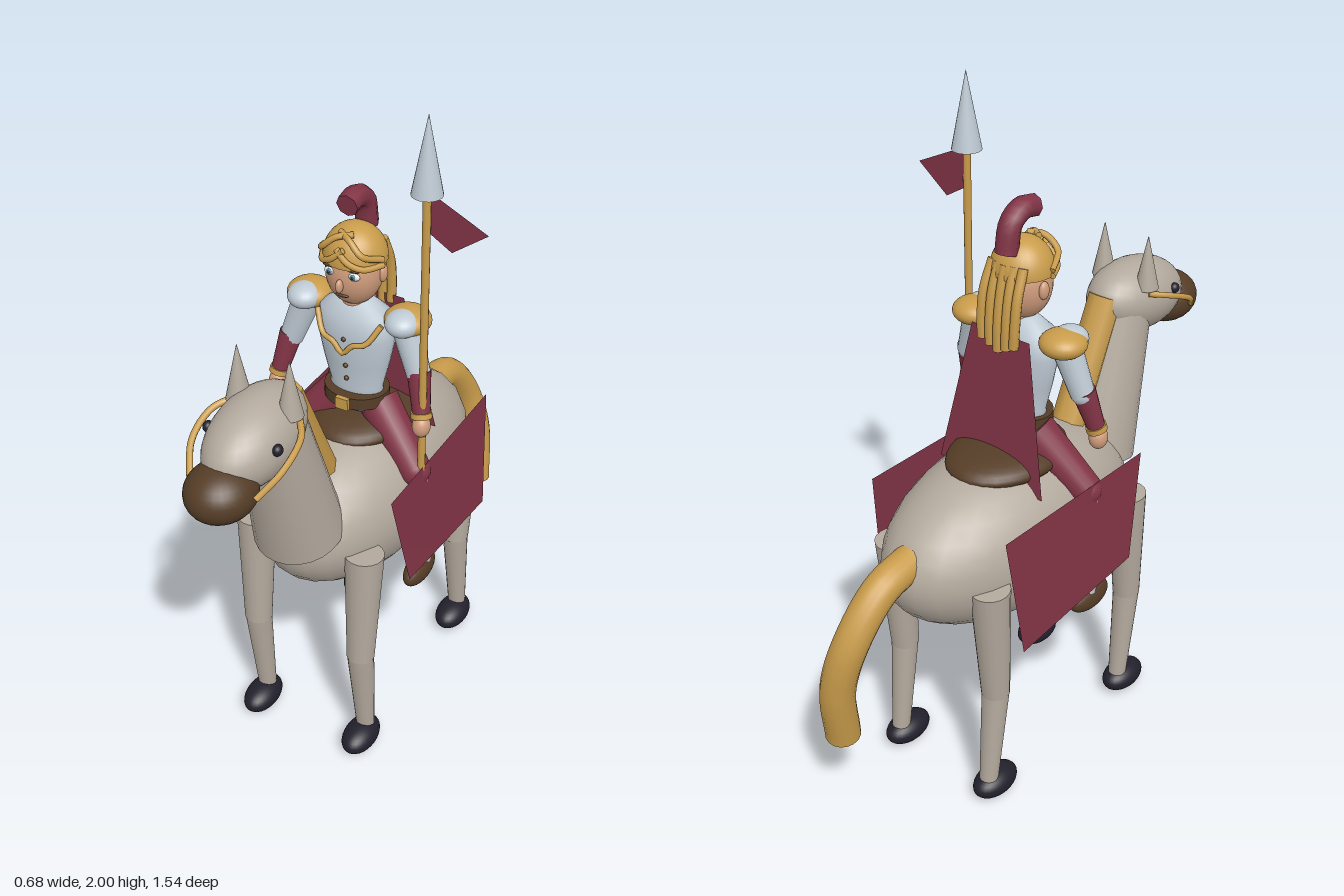
import * as THREE from 'three';

const mat = (name, color, side = THREE.FrontSide) => {
  const m = new THREE.MeshStandardMaterial({ color, side });
  m.name = name;
  return m;
};
const V = (x, y, z) => new THREE.Vector3(x, y, z);

export function createModel() {
  const coat = mat('coat grey', 0xb3a99d), leather = mat('leather brown', 0x553d27);
  const gold = mat('gold', 0xc99c4b), cloth = mat('burgundy cloth', 0x823446, THREE.DoubleSide);
  const steel = mat('steel', 0xbfcad4), skin = mat('skin', 0xcf9c7c);
  const black = mat('hoof black', 0x22202c), white = mat('eye white', 0xe8e8e4), blue = mat('eye blue', 0x4f86a0);

  const root = new THREE.Group();
  root.name = 'mountedLancer';
  const horse = new THREE.Group(), rider = new THREE.Group(), lance = new THREE.Group();
  horse.name = 'horse'; rider.name = 'rider'; lance.name = 'lance';
  root.add(horse, rider, lance);
  root.position.x = -0.07;

  // Helpers
  const add = (parent, name, geo, m) => {
    const mesh = new THREE.Mesh(geo, m);
    mesh.name = name;
    parent.add(mesh);
    return mesh;
  };
  const ball = (parent, name, m, p, r, tilt = 0) => {
    const mesh = add(parent, name, new THREE.SphereGeometry(1, 28, 18), m);
    mesh.position.set(...p);
    mesh.scale.set(...r);
    mesh.rotation.x = tilt;
    return mesh;
  };
  const limb = (parent, name, m, a, b, ra, rb, sides = 18) => {
    const A = V(...a), B = V(...b), d = B.clone().sub(A);
    const mesh = add(parent, name, new THREE.CylinderGeometry(rb, ra, d.length(), sides), m);
    mesh.position.copy(A).add(B).multiplyScalar(0.5);
    mesh.quaternion.setFromUnitVectors(V(0, 1, 0), d.normalize());
    return mesh;
  };
  // Tube with closed ends
  const tube = (parent, name, m, pts, r, sides = 8, seg = 20) => {
    const curve = new THREE.CatmullRomCurve3(pts.map(p => V(...p)));
    add(parent, name, new THREE.TubeGeometry(curve, seg, r, sides), m);
    for (const t of [0, 1]) {
      const cap = add(parent, name + 'End', new THREE.CircleGeometry(r, sides), m);
      cap.position.copy(curve.getPoint(t));
      cap.quaternion.setFromUnitVectors(V(0, 0, 1), curve.getTangent(t).multiplyScalar(t ? 1 : -1));
    }
  };
  // Flat four-cornered sheet
  const sheet = (parent, name, m, c) => {
    const g = new THREE.BufferGeometry();
    g.setAttribute('position', new THREE.Float32BufferAttribute(c.flat(), 3));
    g.setIndex([0, 1, 2, 0, 2, 3]);
    g.computeVertexNormals();
    return add(parent, name, g, m);
  };

  // Horse body, neck and head
  ball(horse, 'body', coat, [0, 0.765, -0.07], [0.242, 0.25, 0.463]);
  limb(horse, 'neck', coat, [0, 0.82, 0.315], [0, 1.28, 0.44], 0.13, 0.092, 24);
  limb(horse, 'mane', gold, [0, 0.95, 0.2], [0, 1.3, 0.365], 0.052, 0.052, 8);
  ball(horse, 'head', coat, [0, 1.262, 0.505], [0.112, 0.11, 0.185], 0.15);
  ball(horse, 'muzzle', leather, [0, 1.195, 0.665], [0.094, 0.077, 0.103]);
  tube(horse, 'tail', gold, [[0, 0.83, -0.47], [0, 0.8, -0.59], [0.015, 0.68, -0.69],
    [0.05, 0.52, -0.72], [0.07, 0.33, -0.695]], 0.05, 16, 28);

  for (const s of [1, -1]) {
    limb(horse, 'ear', coat, [s * 0.077, 1.32, 0.455], [s * 0.077, 1.48, 0.452], 0.035, 0.001);
    ball(horse, 'horseEye', black, [s * 0.103, 1.288, 0.56], [0.014, 0.016, 0.016]);
    tube(horse, 'bridle', gold, [[s * 0.095, 1.31, 0.44], [s * 0.133, 1.295, 0.5],
      [s * 0.135, 1.255, 0.59], [s * 0.098, 1.2, 0.66]], 0.009);
    // Legs and hooves
    for (const [top, knee, ankle, hoof] of [[0.262, 0.285, 0.257, 0.287], [-0.355, -0.332, -0.365, -0.336]]) {
      limb(horse, 'upperLeg', coat, [s * 0.178, 0.755, top], [s * 0.176, 0.38, knee], 0.057, 0.041);
      limb(horse, 'lowerLeg', coat, [s * 0.176, 0.385, knee], [s * 0.176, 0.06, ankle], 0.04, 0.027);
      ball(horse, 'hoof', black, [s * 0.176, 0.047, hoof], [0.05, 0.042, 0.08]);
    }
    // Side cloth
    sheet(horse, 'sideCloth', cloth, [[s * 0.243, 0.935, 0.228], [s * 0.243, 0.935, -0.367],
      [s * 0.27, 0.565, -0.322], [s * 0.268, 0.617, 0.16]]);
  }
  ball(horse, 'saddle', leather, [0, 0.987, -0.075], [0.15, 0.05, 0.2]);

  // Torso and belt, round profiles flattened front to back
  const torso = add(rider, 'breastplate', new THREE.LatheGeometry([[0, 1.04], [0.085, 1.05], [0.08, 1.12],
    [0.1, 1.2], [0.118, 1.29], [0.108, 1.36], [0.05, 1.4], [0, 1.405]].map(p => new THREE.Vector2(...p)), 28), steel);
  torso.scale.z = 0.62;
  torso.position.z = -0.015;
  const belt = add(rider, 'belt', new THREE.CylinderGeometry(0.096, 0.096, 0.036, 28), leather);
  belt.scale.z = 0.85;
  belt.position.set(0, 1.09, -0.015);
  const buckle = add(rider, 'buckle', new THREE.BoxGeometry(0.04, 0.036, 0.012), gold);
  buckle.position.set(0, 1.09, 0.07);
  for (let i = 0; i < 4; i++) ball(rider, 'stud', leather, [0, 1.16 + i * 0.045, 0.045 + i * 0.004], [0.007, 0.007, 0.007]);
  tube(rider, 'collarTrim', gold, [[-0.1, 1.35, 0.025], [-0.065, 1.295, 0.056], [-0.03, 1.285, 0.064],
    [0, 1.255, 0.066], [0.03, 1.285, 0.064], [0.065, 1.295, 0.056], [0.1, 1.35, 0.025]], 0.008);
  sheet(rider, 'cape', cloth, [[-0.1, 1.37, -0.103], [0.1, 1.37, -0.103], [0.185, 0.935, -0.148], [-0.185, 0.935, -0.148]]);

  // Arms and legs
  for (const s of [1, -1]) {
    ball(rider, 'shoulderGuard', gold, [s * 0.153, 1.36, -0.027], [0.066, 0.038, 0.066]);
    ball(rider, 'shoulderPlate', steel, [s * 0.153, 1.363, 0.0], [0.05, 0.036, 0.055]);
    limb(rider, 'upperArm', steel, [s * 0.155, 1.345, -0.015], [s * 0.203, 1.21, 0.0], 0.042, 0.034);
    ball(rider, 'elbow', steel, [s * 0.203, 1.215, 0], [0.034, 0.034, 0.034]);
    limb(rider, 'forearm', cloth, [s * 0.203, 1.225, 0], [s * 0.229, 1.105, 0.03], 0.034, 0.025);
    limb(rider, 'cuff', gold, [s * 0.227, 1.113, 0.028], [s * 0.23, 1.097, 0.032], 0.03, 0.03);
    ball(rider, 'hand', skin, [s * 0.232, 1.072, 0.036], [0.026, 0.034, 0.028]);
    limb(rider, 'thigh', cloth, [s * 0.06, 1.06, -0.03], [s * 0.205, 0.9, 0.02], 0.06, 0.048);
    ball(rider, 'knee', cloth, [s * 0.205, 0.9, 0.02], [0.048, 0.048, 0.048]);
    limb(rider, 'shin', steel, [s * 0.205, 0.9, 0.02], [s * 0.228, 0.56, 0.01], 0.042, 0.028);
    ball(rider, 'boot', leather, [s * 0.228, 0.542, 0.022], [0.034, 0.044, 0.08]);
  }

  // Head and face
  limb(rider, 'riderNeck', skin, [0, 1.37, -0.015], [0, 1.43, -0.01], 0.042, 0.04);
  ball(rider, 'riderHead', skin, [0, 1.485, -0.008], [0.08, 0.1, 0.08]);
  ball(rider, 'nose', skin, [0, 1.472, 0.075], [0.01, 0.02, 0.014]);
  ball(rider, 'mouth', leather, [0, 1.438, 0.062], [0.02, 0.005, 0.006]);
  for (const s of [1, -1]) {
    ball(rider, 'eyeWhite', white, [s * 0.036, 1.503, 0.06], [0.018, 0.011, 0.009]);
    ball(rider, 'iris', blue, [s * 0.036, 1.503, 0.066], [0.009, 0.009, 0.005]);
    ball(rider, 'pupil', black, [s * 0.036, 1.503, 0.07], [0.004, 0.004, 0.003]);
    ball(rider, 'brow', leather, [s * 0.036, 1.522, 0.064], [0.02, 0.004, 0.006]);
    ball(rider, 'ear', skin, [s * 0.08, 1.487, -0.02], [0.012, 0.026, 0.017]);
    // Crossed ornaments on the helmet front
    tube(rider, 'helmetTrim', gold, [[s * 0.09, 1.54, 0.0], [s * 0.06, 1.57, 0.06], [s * 0.02, 1.605, 0.055], [-s * 0.02, 1.61, 0.03]], 0.009);
    tube(rider, 'browTrim', gold, [[s * 0.092, 1.525, 0.0], [s * 0.06, 1.53, 0.058], [s * 0.025, 1.55, 0.078], [-s * 0.01, 1.58, 0.072]], 0.009);
  }

  // Helmet, crest and hanging hair
  const dome = add(rider, 'helmet', new THREE.SphereGeometry(1, 28, 12, 0, Math.PI * 2, 0, Math.PI / 2), gold);
  dome.scale.set(0.09, 0.098, 0.088);
  dome.position.set(0, 1.523, -0.013);
  const rim = add(rider, 'helmetBase', new THREE.CircleGeometry(1, 28), gold);
  rim.rotation.x = Math.PI / 2;
  rim.scale.set(0.09, 0.088, 1);
  rim.position.copy(dome.position);
  tube(rider, 'crest', cloth, [[0, 1.69, 0.03], [0, 1.697, -0.015], [0, 1.67, -0.06], [0, 1.59, -0.078]], 0.032, 8, 10);
  for (let i = -2; i <= 2; i++) {
    const x = i * 0.026;
    tube(rider, 'hairLock', gold, [[x, 1.56, -0.083 + Math.abs(i) * 0.006], [x * 1.1, 1.48, -0.102],
      [x * 1.1, 1.4, -0.112], [x * 1.05, 1.32 + Math.abs(i) * 0.012, -0.113]], 0.014);
  }

  // Lance with pennant
  const lx = 0.234, lz = 0.035;
  limb(lance, 'shaft', gold, [lx, 0.55, lz], [lx, 1.8, lz], 0.011, 0.011, 12);
  limb(lance, 'spearhead', steel, [lx, 1.785, lz], [lx, 2, lz], 0.042, 0.0005, 20);
  sheet(lance, 'pennant', cloth, [[lx + 0.005, 1.79, 0.03], [lx + 0.005, 1.675, 0.03], [0.305, 1.635, 0.03], [0.405, 1.71, 0.03]]);

  return root;
}
